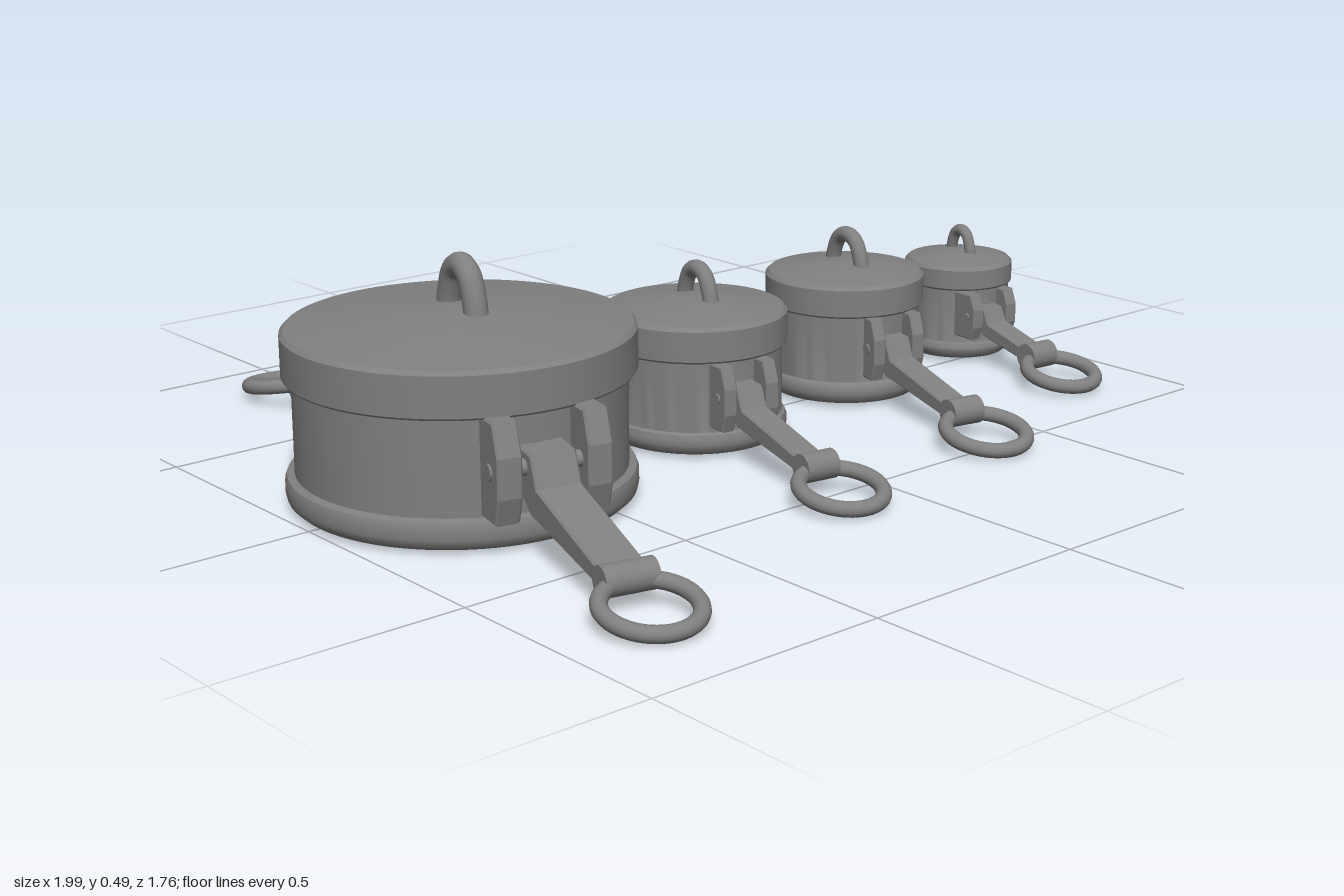
import * as THREE from 'three';
import { toCreasedNormals } from 'three/addons/utils/BufferGeometryUtils.js';

const iron = new THREE.MeshStandardMaterial({ color: 0x808080 });
iron.name = 'grey iron';

function add(parent, name, geometry, x = 0, y = 0, z = 0) {
  const mesh = new THREE.Mesh(geometry, iron);
  mesh.name = name;
  mesh.position.set(x, y, z);
  parent.add(mesh);
  return mesh;
}

const lathe = (pts) => toCreasedNormals(
  new THREE.LatheGeometry(pts.map(([r, y]) => new THREE.Vector2(r, y)), 72), 0.6);

// Side profile of [outward, up] points, given a width across x
function plate(points, width) {
  const shape = new THREE.Shape(points.map(([u, v]) => new THREE.Vector2(u, v)));
  const bevel = Math.min(0.004, width * 0.1);
  const geo = new THREE.ExtrudeGeometry(shape, {
    depth: width - 2 * bevel, bevelThickness: bevel, bevelSize: bevel,
    bevelOffset: -bevel, bevelSegments: 1,
  });
  return geo.rotateY(-Math.PI / 2).translate(width / 2 - bevel, 0, 0);
}

// Hinged strap with a loose ring, running from a bracket on the pot wall
function makeArm(pot, { from, to, ringR, lugGap, lugT, width }) {
  const arm = new THREE.Group();
  arm.name = 'hingedArm';
  const dx = to[0] - from[0], dz = to[1] - from[1];
  const reach = Math.hypot(dx, dz);
  arm.position.set(from[0], 0, from[1]);
  arm.rotation.y = Math.atan2(dx, dz);
  const { pinY, lugH, lugIn, lugOut } = pot;

  // Pair of bracket lugs with a pin through them
  const lug = [
    [-lugIn, pinY - lugH], [lugOut * 0.6, pinY - lugH], [lugOut, pinY - lugH * 0.45],
    [lugOut, pinY + lugH * 0.35], [lugOut * 0.45, pinY + lugH], [-lugIn, pinY + lugH],
  ];
  for (const side of [-1, 1]) {
    add(arm, 'hingeLug', plate(lug, lugT), side * lugGap);
  }
  const pin = new THREE.CylinderGeometry(lugH * 0.17, lugH * 0.17, 2 * lugGap + lugT + 0.008, 20);
  add(arm, 'hingePin', pin.rotateZ(Math.PI / 2), 0, pinY, 0);

  // Strap: a knuckle around the pin, then a sloping bar
  const end = reach - ringR + 0.022;
  add(arm, 'strap', plate([
    [-lugOut * 0.8, pinY - lugH * 0.45], [lugOut * 0.6, pinY - lugH * 0.9],
    [end, 0.036], [end, 0.066], [lugOut * 1.3, pinY - lugH * 0.3],
    [lugOut * 0.7, pinY + lugH * 0.3], [-lugOut * 0.8, pinY + lugH * 0.35],
  ], width));

  // Rounded loop gripping the ring
  const loop = new THREE.CylinderGeometry(0.03, 0.03, width + 0.012, 24);
  add(arm, 'strapLoop', loop.rotateZ(Math.PI / 2), 0, 0.056, end - 0.008);

  // Ring drooping to the ground
  const ring = new THREE.TorusGeometry(ringR - 0.016, 0.016, 14, 56);
  add(arm, 'pullRing', ring.rotateX(Math.PI / 2 + 0.19), 0, 0.035, reach);
  return arm;
}

function makePot(p) {
  const pot = new THREE.Group();
  pot.name = 'lidedPot'.replace('lided', 'lidded');
  const [x, z] = p.center;
  const r = p.r, b = r * 0.945, c = 0.008;

  // Body with a rounded foot band
  add(pot, 'body', lathe([
    [0, 0.008], [r - 0.014, 0.008], [r - 0.003, 0.018], [r, 0.03],
    [r, p.foot - 0.014], [r - 0.004, p.foot - 0.004], [b, p.foot],
    [b, p.lidY + 0.01], [0, p.lidY + 0.01],
  ]), x, 0, z);

  // Lid with a straight rim and a shallow cone
  add(pot, 'lid', lathe([
    [0, p.lidY], [r - 0.003, p.lidY], [r, p.lidY + 0.004], [r, p.rimY - c],
    [r - c, p.rimY], [r * 0.5, p.rimY + (p.peakY - p.rimY) * 0.62], [0.02, p.peakY], [0, p.peakY],
  ]), x, 0, z);

  // Arched lid handle
  const w = p.knobW, t = p.knobT, h = p.knobY - t - p.peakY;
  const arch = new THREE.CatmullRomCurve3([
    [-w, -0.012], [-w * 0.86, h * 0.3], [-w * 0.55, h * 0.8], [0, h],
    [w * 0.55, h * 0.8], [w * 0.86, h * 0.3], [w, -0.012],
  ].map(([u, v]) => new THREE.Vector3(0, v, u)));
  const knob = add(pot, 'lidHandle', new THREE.TubeGeometry(arch, 40, t, 14), x + 0.008, p.peakY, z);
  knob.rotation.y = -0.16;

  p.arms.forEach((a) => pot.add(makeArm(p, a)));
  return pot;
}

export function createModel() {
  const model = new THREE.Group();
  model.name = 'pots';
  const small = { lugGap: 0.05, lugT: 0.03, width: 0.062 };
  const slim = { lugGap: 0.036, lugT: 0.018, width: 0.058 };
  const pots = [
    {
      center: [-0.658, 0.019], r: 0.343, foot: 0.067, lidY: 0.258, rimY: 0.35, peakY: 0.383,
      knobY: 0.487, knobW: 0.06, knobT: 0.024, pinY: 0.165, lugH: 0.097, lugIn: 0.06, lugOut: 0.04,
      arms: [
        { from: [-0.622, -0.335], to: [-0.553, -0.775], ringR: 0.114, lugGap: 0.049, lugT: 0.022, width: 0.078 },
        { from: [-0.715, 0.365], to: [-0.81, 0.77], ringR: 0.104, lugGap: 0.09, lugT: 0.05, width: 0.092 },
      ],
    },
    {
      center: [-0.053, 0.011], r: 0.194, foot: 0.055, lidY: 0.203, rimY: 0.278, peakY: 0.3,
      knobY: 0.373, knobW: 0.052, knobT: 0.017, pinY: 0.135, lugH: 0.068, lugIn: 0.05, lugOut: 0.03,
      arms: [
        { from: [-0.026, -0.192], to: [0.056, -0.524], ringR: 0.105, ...small },
        { from: [-0.09, 0.208], to: [-0.147, 0.55], ringR: 0.099, ...small },
      ],
    },
    {
      center: [0.42, -0.025], r: 0.176, foot: 0.056, lidY: 0.202, rimY: 0.272, peakY: 0.293,
      knobY: 0.367, knobW: 0.055, knobT: 0.017, pinY: 0.135, lugH: 0.068, lugIn: 0.05, lugOut: 0.03,
      arms: [
        { from: [0.455, -0.195], to: [0.537, -0.556], ringR: 0.102, ...slim },
        { from: [0.4, 0.147], to: [0.329, 0.492], ringR: 0.1, ...small },
      ],
    },
    {
      center: [0.84, -0.069], r: 0.125, foot: 0.047, lidY: 0.172, rimY: 0.227, peakY: 0.243,
      knobY: 0.302, knobW: 0.036, knobT: 0.013, pinY: 0.118, lugH: 0.053, lugIn: 0.045, lugOut: 0.026,
      arms: [
        { from: [0.862, -0.19], to: [0.895, -0.497], ringR: 0.098, ...slim },
        { from: [0.81, 0.056], to: [0.783, 0.305], ringR: 0.093, ...small, width: 0.058 },
      ],
    },
  ];
  pots.forEach((p) => model.add(makePot(p)));
  return model;
}
